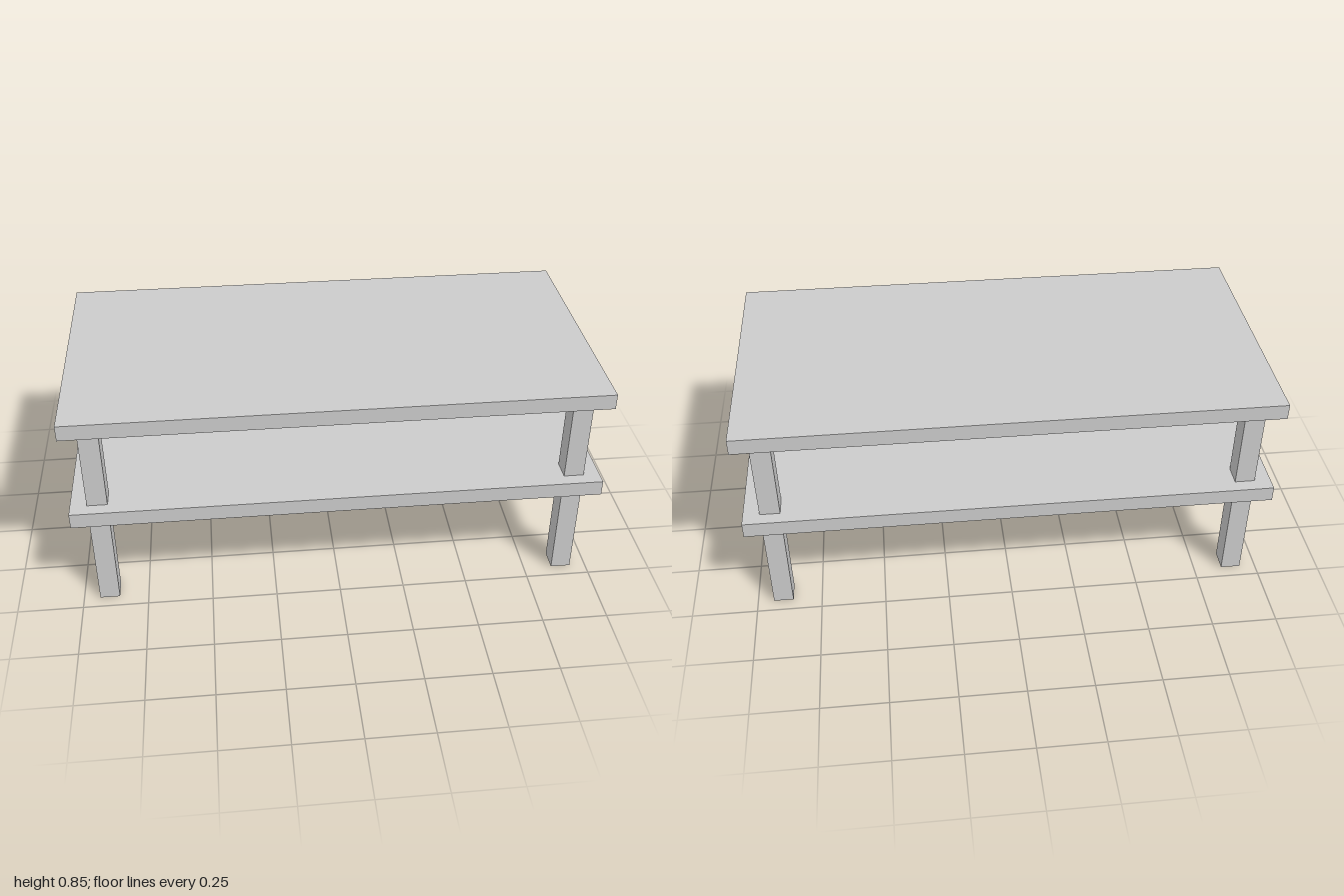
import * as THREE from 'three';

export function createModel() {
  const group = new THREE.Group();
  const material = new THREE.MeshStandardMaterial({ color: 0xcccccc, flatShading: true });

  // Box placed by its bottom height
  const addBox = (name, w, h, d, x, bottom, z) => {
    const mesh = new THREE.Mesh(new THREE.BoxGeometry(w, h, d), material);
    mesh.name = name;
    mesh.position.set(x, bottom + h / 2, z);
    group.add(mesh);
  };

  const thickness = 0.06, shelfBottom = 0.395, topBottom = 0.785;
  const shelfTop = shelfBottom + thickness;

  // Two equal boards
  addBox('tableTop', 2, thickness, 1, 0, topBottom, 0);
  addBox('shelf', 2, thickness, 1, 0, shelfBottom, 0);

  // Legs below the shelf, posts between shelf and top
  for (const [sideName, sx] of [['Left', 1], ['Right', -1]]) {
    for (const [endName, sz] of [['front', 1], ['back', -1]]) {
      const x = sx * 0.9, z = sz * 0.41;
      addBox(`${endName}${sideName}Leg`, 0.076, shelfBottom, 0.08, x, 0, z);
      addBox(`${endName}${sideName}Post`, 0.076, topBottom - shelfTop, 0.08, x, shelfTop, z);
    }
  }
  return group;
}
